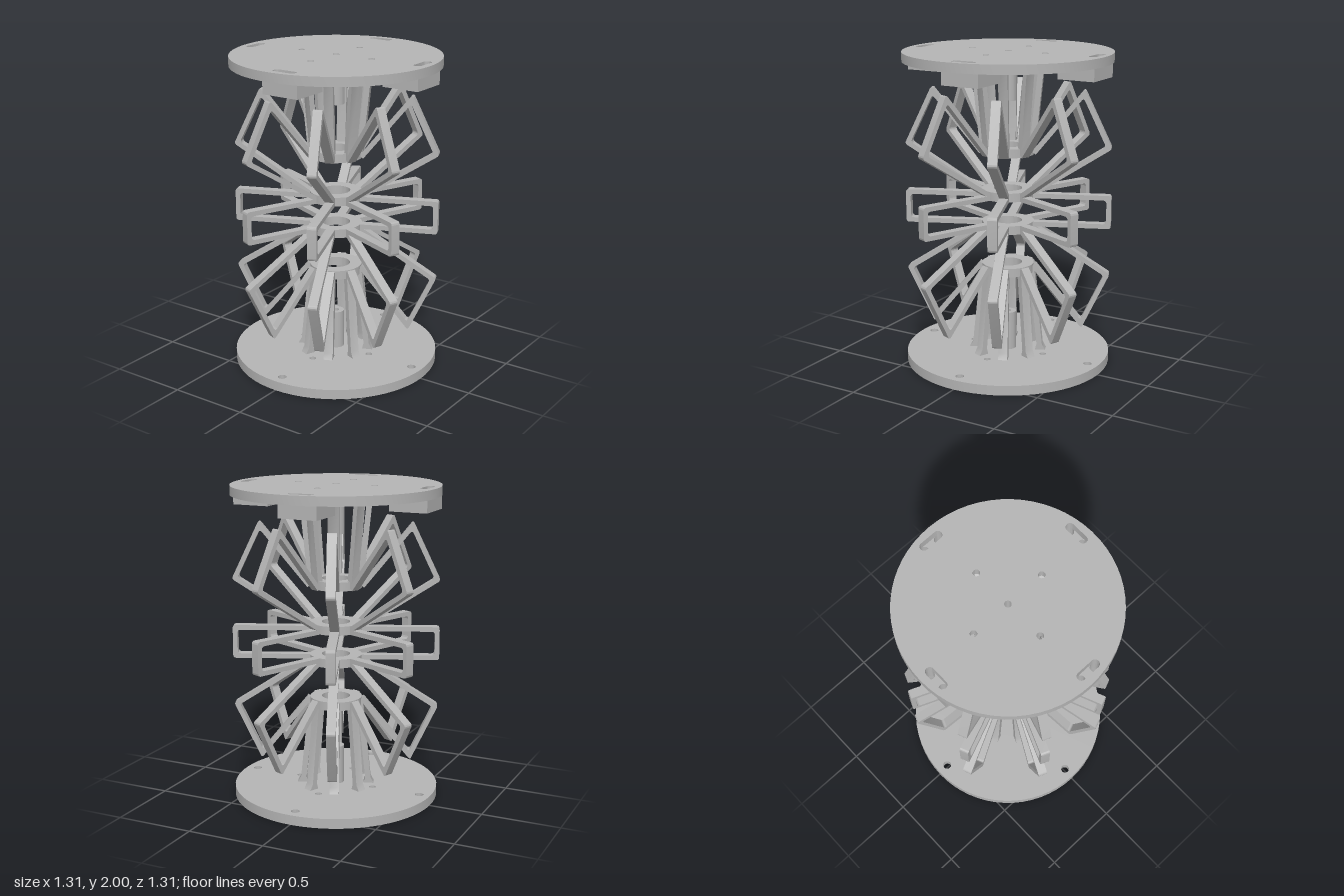
import * as THREE from 'three';
import { toCreasedNormals } from 'three/addons/utils/BufferGeometryUtils.js';

const FIN = 0.058; // fin thickness
const BAR = 0.03;  // width of the frame bars

// Extrude a shape, smooth on curves and sharp on edges
function extrude(shape, depth) {
  const geo = new THREE.ExtrudeGeometry(shape, { depth, bevelEnabled: false, curveSegments: 32 });
  return toCreasedNormals(geo, 0.5);
}

// Flat slab lying on height y, drawn as (x, -z)
function slab(shape, y, height) {
  return extrude(shape, height).rotateX(-Math.PI / 2).translate(0, y, 0);
}

function circle(x, z, r, Kind = THREE.Path) {
  const p = new Kind();
  p.absarc(x, -z, r, 0, Math.PI * 2, false);
  return p;
}

// Offset an open polyline to its left by d, with mitred corners
function offset(pts, d) {
  const dirs = pts.slice(1).map((p, i) => p.clone().sub(pts[i]).normalize());
  const normal = (v) => new THREE.Vector2(-v.y, v.x);
  return pts.map((p, i) => {
    const a = normal(dirs[Math.max(i - 1, 0)]);
    const b = normal(dirs[Math.min(i, dirs.length - 1)]);
    return p.clone().addScaledVector(a.clone().add(b), d / (1 + a.dot(b)));
  });
}

// Draw a polyline whose inner corners are rounded
function roundedLine(shape, pts, r) {
  for (let i = 1; i < pts.length - 1; i++) {
    const p = pts[i];
    const before = pts[i - 1].clone().sub(p).setLength(r).add(p);
    const after = pts[i + 1].clone().sub(p).setLength(r).add(p);
    shape.lineTo(before.x, before.y);
    shape.quadraticCurveTo(p.x, p.y, after.x, after.y);
  }
  const end = pts[pts.length - 1];
  shape.lineTo(end.x, end.y);
}

// U-shaped frame from its outer outline in (radius, height)
function frameShape(coords, flip) {
  const outer = coords.map(([r, y]) => new THREE.Vector2(r, y));
  const inner = offset(outer, BAR).reverse();
  if (flip) [...outer, ...inner].forEach((p) => { p.y = 2 - p.y; });
  const s = new THREE.Shape();
  s.moveTo(outer[0].x, outer[0].y);
  roundedLine(s, outer, 0.02);
  s.lineTo(inner[0].x, inner[0].y);
  roundedLine(s, inner, 0.022);
  s.closePath();
  return s;
}

// Slanted leg with a small flare at the plate
function legShape(flip) {
  const pts = [[0.135, 0.63], [0.172, 0.63], [0.226, 0.1], [0.248, 0.06], [0.18, 0.06], [0.191, 0.1]];
  return new THREE.Shape(pts.map(([r, y]) => new THREE.Vector2(r, flip ? 2 - y : y)));
}

export function createModel() {
  const model = new THREE.Group();
  model.name = 'finnedSpool';
  const grey = new THREE.MeshStandardMaterial({ color: 0xb4b4b4 });
  grey.name = 'grey';

  const add = (parent, name, geo) => {
    const m = new THREE.Mesh(geo, grey);
    m.name = name;
    parent.add(m);
    return m;
  };

  // Eight copies of a fin around the axis
  const finRing = (name, shape) => {
    const g = new THREE.Group();
    g.name = name;
    const geo = extrude(shape, FIN).translate(0, 0, -FIN / 2);
    for (let i = 0; i < 8; i++) {
      add(g, 'fin', geo).rotation.y = (i + 0.5) * Math.PI / 4;
    }
    model.add(g);
  };

  // End plates with their drilled holes
  const plate = () => {
    const s = new THREE.Shape();
    s.absarc(0, 0, 0.655, 0, Math.PI * 2, false);
    [[0, 0], [0.26, 0], [-0.26, 0], [0, 0.26], [0, -0.26]].forEach(([x, z]) => s.holes.push(circle(x, z, 0.021)));
    return s;
  };
  const bottom = plate();
  const top = plate();
  for (let i = 0; i < 4; i++) {
    const a = i * Math.PI / 2;
    bottom.holes.push(circle(0.583 * Math.sin(a), 0.583 * Math.cos(a), 0.027));
    // Slot running sideways from each mounting hole
    const slot = new THREE.Path();
    const c = new THREE.Vector2(0, -0.583).rotateAround(new THREE.Vector2(), a);
    const e = new THREE.Vector2(0.105, -0.583).rotateAround(new THREE.Vector2(), a);
    slot.absarc(c.x, c.y, 0.026, a + Math.PI / 2, a + Math.PI * 1.5, false);
    slot.absarc(e.x, e.y, 0.026, a - Math.PI / 2, a + Math.PI / 2, false);
    slot.closePath();
    top.holes.push(slot);
  }
  add(model, 'bottomPlate', slab(bottom, 0, 0.062));
  add(model, 'topPlate', slab(top, 1.942, 0.058));

  // Mounting pads under the top plate
  const pad = new THREE.Shape([[-0.074, -0.63], [0.175, -0.63], [0.175, -0.386], [-0.074, -0.386]]
    .map(([x, y]) => new THREE.Vector2(x, y)));
  pad.holes.push(circle(0, 0.583, 0.026), circle(0.105, 0.583, 0.026));
  const padGeo = slab(pad, 1.86, 0.082);
  for (let i = 0; i < 4; i++) add(model, 'mountingPad', padGeo).rotation.y = i * Math.PI / 2;

  // Hollow centre posts on both plates
  const post = circle(0, 0, 0.052, THREE.Shape);
  post.holes.push(circle(0, 0, 0.021));
  add(model, 'lowerPost', slab(post, 0.062, 0.25));
  add(model, 'upperPost', slab(post, 1.693, 0.249));

  // Hub rings joining the fins
  const ring = circle(0, 0, 0.165, THREE.Shape);
  ring.holes.push(circle(0, 0, 0.09));
  [0.588, 0.867, 1.077, 1.356].forEach((y) => add(model, 'hubRing', slab(ring, y, 0.056)));

  // Level frames round the middle
  finRing('middleFrames', frameShape([[0.125, 0.893], [0.655, 0.893], [0.655, 1.107], [0.125, 1.107]], false));

  // Slanted frames and plate legs, above and below
  const slanted = [[0.14, 1.077], [0.655, 1.405], [0.48, 1.775], [0.155, 1.375]];
  [[true, 'lower'], [false, 'upper']].forEach(([flip, side]) => {
    finRing(side + 'SlantedFrames', frameShape(slanted, flip));
    finRing(side + 'Legs', legShape(!flip));
  });

  return model;
}
